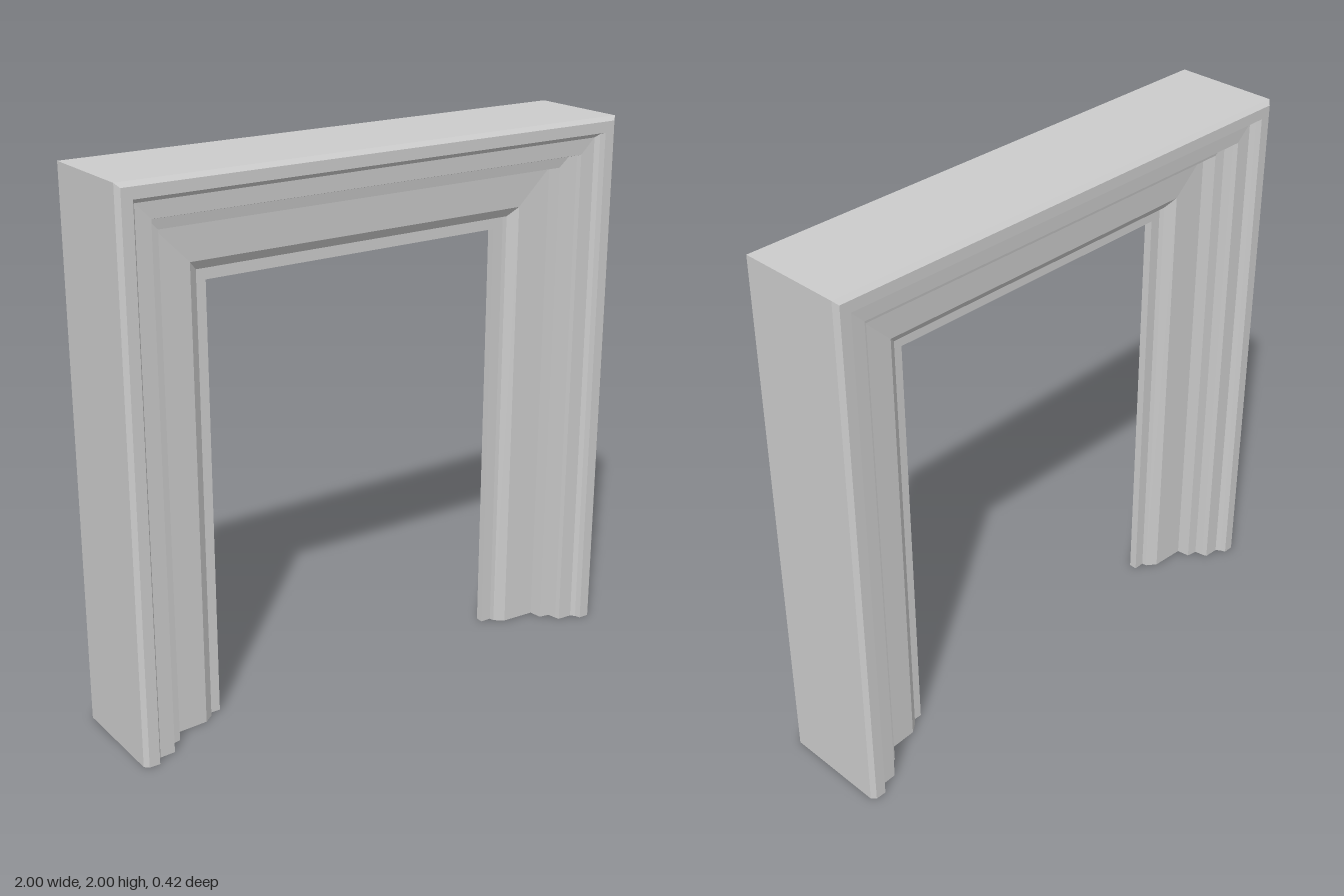
import * as THREE from 'three';

// Front half of the moulding section: [distance in from outer edge, z]
const half = [
  [0, 0.195], [0.015, 0.21], [0.055, 0.21], [0.062, 0.19], [0.075, 0.175],
  [0.132, 0.172], [0.137, 0.155], [0.143, 0.122], [0.183, 0.115],
  [0.19, 0.067], [0.32, 0.06], [0.355, 0.033], [0.358, 0.015], [0.4, 0.015],
];
// Mirror to the back to close the section
const section = [...half, ...half.map(([d, z]) => [d, -z]).reverse()];

// The path of the frame: up one side, across the top, down the other
const stations = [
  (d) => [-1 + d, 0],
  (d) => [-1 + d, 2 - d],
  (d) => [1 - d, 2 - d],
  (d) => [1 - d, 0],
];

// One mitred length of moulding between two stations, with a flat foot where it meets the floor
function moulding(name, from, to, material) {
  const positions = [];
  const at = (station, [d, z]) => new THREE.Vector3(...station(d), z);
  const tri = (...pts) => pts.forEach((p) => positions.push(p.x, p.y, p.z));

  section.forEach((p, i) => {
    const q = section[(i + 1) % section.length];
    const a = at(from, p), b = at(from, q), c = at(to, q), e = at(to, p);
    tri(a, b, c);
    tri(a, c, e);
  });

  const foot = [from, to].find((s) => s(0)[1] === 0);
  if (foot) {
    const outline = section.map(([d, z]) => new THREE.Vector2(d, z));
    for (const face of THREE.ShapeUtils.triangulateShape(outline, [])) {
      const [a, b, c] = face.map((i) => at(foot, section[i]));
      const up = b.clone().sub(a).cross(c.clone().sub(a)).y > 0;
      up ? tri(a, c, b) : tri(a, b, c); // foot faces down
    }
  }

  const geometry = new THREE.BufferGeometry();
  geometry.setAttribute('position', new THREE.Float32BufferAttribute(positions, 3));
  geometry.computeVertexNormals();
  const mesh = new THREE.Mesh(geometry, material);
  mesh.name = name;
  return mesh;
}

export function createModel() {
  const group = new THREE.Group();
  group.name = 'doorFrame';
  const material = new THREE.MeshStandardMaterial({ color: 0xcccccc, flatShading: true });
  ['rightJamb', 'header', 'leftJamb'].forEach((name, i) =>
    group.add(moulding(name, stations[i], stations[i + 1], material)));
  return group;
}
